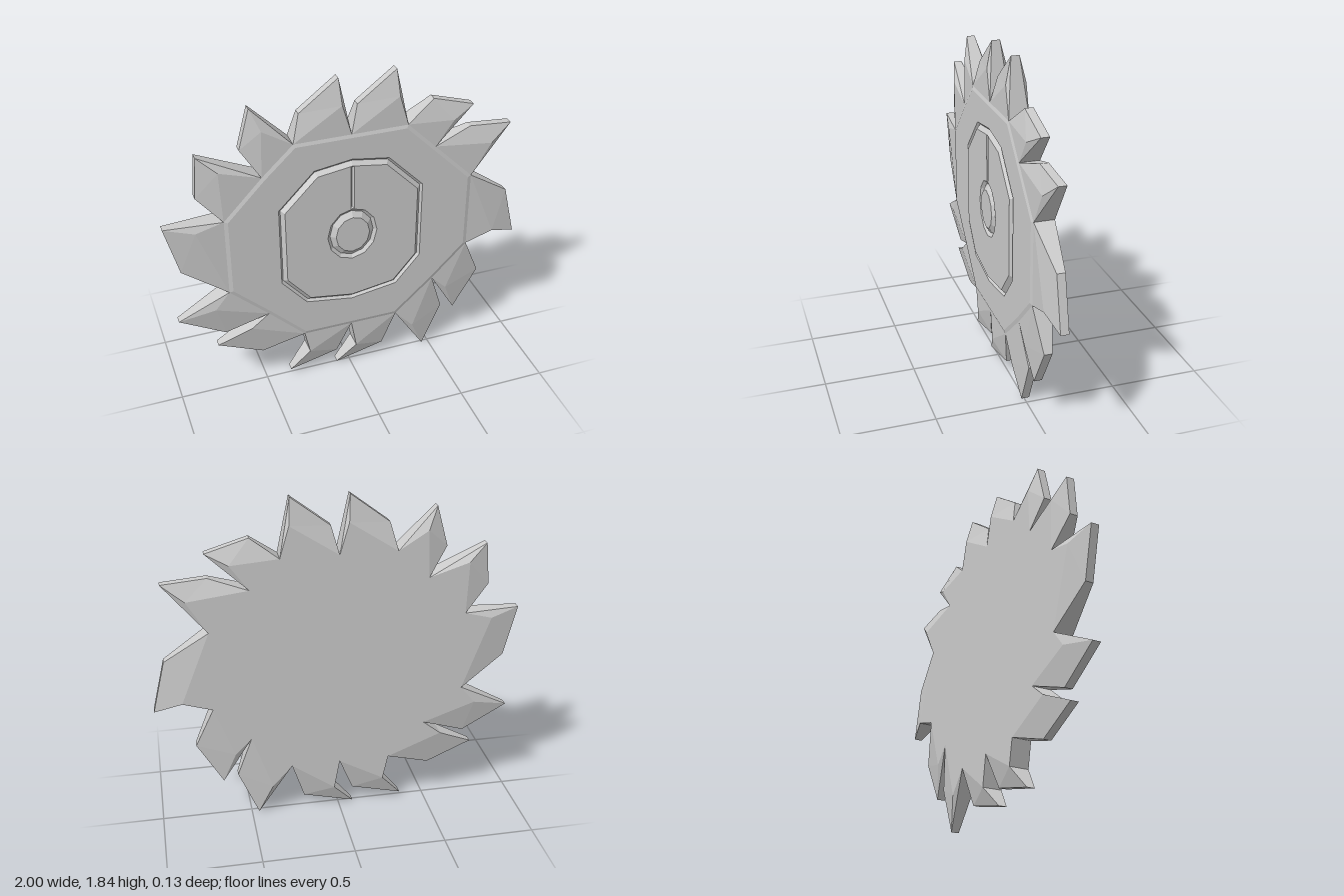
import * as THREE from 'three';

const BACK = -0.063, FRONT = 0.045, MID = -0.007, TIP = 0.022, CY = 0.93;
const DISC_FACE = 0.051, PLATE_FACE = 0.06;
const mat = new THREE.MeshStandardMaterial({ color: 0xcccccc, flatShading: true });

function meshFromTriangles(name, tris) {
  const geo = new THREE.BufferGeometry();
  geo.setAttribute('position', new THREE.Float32BufferAttribute(tris.flat(2), 3));
  geo.computeVertexNormals();
  const mesh = new THREE.Mesh(geo, mat);
  mesh.name = name;
  return mesh;
}

const scaled = (outline, s) => outline.map(([x, y]) => [x * s, CY + (y - CY) * s]);

// Wall through scaled copies of a counter-clockwise outline; layers are [scale, z]
function bevels(name, outline, layers) {
  const rings = layers.map(([s, z]) => scaled(outline, s).map(p => [...p, z]));
  const tris = [];
  for (let k = 0; k + 1 < rings.length; k++) {
    const a = rings[k], b = rings[k + 1];
    a.forEach((_, i) => {
      const j = (i + 1) % a.length;
      tris.push([a[i], a[j], b[j]], [a[i], b[j], b[i]]);
    });
  }
  return meshFromTriangles(name, tris);
}

// Flat face with optional holes, facing the front
function flat(name, outline, z, holes = []) {
  const points = list => list.map(([x, y]) => new THREE.Vector2(x, y));
  const shape = new THREE.Shape(points(outline));
  shape.holes = holes.map(h => new THREE.Path(points(h)));
  const mesh = new THREE.Mesh(new THREE.ShapeGeometry(shape), mat);
  mesh.name = name;
  mesh.position.z = z;
  return mesh;
}

// Tooth: heel base a, heel p, tip t, gullet q, next base b, listed clockwise
function tooth([a, p, t, q, b], hooked) {
  const thick = (v, f) => [...v, f ? FRONT : BACK];
  const thin = (v, f) => [...v, MID + (f ? TIP : -TIP)];
  const [F, B] = [true, false].map(f => ({
    a: thick(a, f), p: thin(p, f), t: thin(t, f), q: thick(q, f), b: thick(b, f),
  }));
  const tris = [];
  const wall = (m, n) => tris.push([F[m], B[n], B[m]], [F[m], F[n], B[n]]);
  const face = (k, l, m) => tris.push([F[k], F[m], F[l]], [B[k], B[l], B[m]]);
  face('a', 'p', 'q');
  face('p', 't', 'q');
  face('a', 'q', 'b');
  wall('a', 'p');
  wall('p', 't');
  if (hooked) {
    wall('t', 'q');
    wall('q', 'b');
  } else {
    // sharpened gullet: a bevel on each side of a straight cutting wall
    face('q', 't', 'b');
    wall('t', 'b');
  }
  return meshFromTriangles('tooth', tris);
}

export function createModel() {
  const group = new THREE.Group();
  group.name = 'sawBlade';

  // Corners where neighbouring teeth meet, clockwise from the upper left
  const base = [
    [-0.69, 1.15], [-0.48, 1.37], [-0.31, 1.53], [0, 1.53], [0.31, 1.53], [0.47, 1.37], [0.69, 1.15],
    [0.69, 0.70], [0.49, 0.50], [0.27, 0.30], [0, 0.30], [-0.28, 0.30], [-0.48, 0.50], [-0.69, 0.70],
  ];

  // Heel, tip, gullet, and whether the gullet is hooked
  const teeth = [
    [[-0.82, 1.30], [-0.80, 1.53], [-0.70, 1.44], false],
    [[-0.58, 1.53], [-0.52, 1.75], [-0.47, 1.63], false],
    [[-0.27, 1.68], [-0.06, 1.84], [-0.05, 1.70], false],
    [[0.04, 1.68], [0.25, 1.84], [0.26, 1.70], false],
    [[0.46, 1.64], [0.69, 1.57], [0.57, 1.51], false],
    [[0.68, 1.44], [0.92, 1.42], [0.80, 1.33], false],
    [[0.93, 0.99], [1.00, 0.70], [0.85, 0.75], true],
    [[0.79, 0.47], [0.65, 0.23], [0.58, 0.41], false],
    [[0.57, 0.26], [0.46, 0.00], [0.38, 0.18], false],
    [[0.20, 0.08], [-0.08, 0.01], [0.03, 0.13], true],
    [[-0.08, 0.10], [-0.36, 0.03], [-0.25, 0.16], true],
    [[-0.52, 0.22], [-0.77, 0.33], [-0.58, 0.42], true],
    [[-0.72, 0.41], [-0.97, 0.55], [-0.77, 0.60], false],
    [[-0.93, 0.87], [-1.00, 1.15], [-0.84, 1.11], false],
  ];
  teeth.forEach(([p, t, q, hooked], i) =>
    group.add(tooth([base[i], p, t, q, base[(i + 1) % base.length]], hooked)));

  // Ten-sided plate outline and oval hub outline
  const half = [[0, 0.50], [0.255, 0.54], [0.39, 0.70], [0.39, 1.15], [0.20, 1.345], [0, 1.375]];
  const plate = [...half, ...half.slice(1, -1).reverse().map(([x, y]) => [-x, y])];
  const hub = Array.from({ length: 12 }, (_, i) => {
    const a = (i / 12) * Math.PI * 2;
    return [0.14 * Math.cos(a), CY + 0.16 * Math.sin(a)];
  });

  // Disc with a bevelled front rim, opened for the plate
  const disc = [...base].reverse();
  const back = flat('discBack', disc.map(([x, y]) => [-x, y]), BACK);
  back.rotation.y = Math.PI;
  group.add(back);
  group.add(bevels('discRim', disc, [[1, BACK], [1, FRONT], [0.97, DISC_FACE]]));
  group.add(flat('discFace', scaled(disc, 0.97), DISC_FACE, [scaled(plate, 1.03)]));

  // Raised plate inside a narrow groove, opened for the hub and seam
  const w = 0.01, low = 1.092, high = 1.35;
  const slot = [[-w, low], [w, low], [w, high], [-w, high]];
  group.add(bevels('plateGroove', plate, [[1.03, DISC_FACE], [1, 0.038], [0.95, PLATE_FACE]]));
  group.add(flat('plateFace', scaled(plate, 0.95), PLATE_FACE, [hub, slot]));

  // Hub boss inside its own groove
  group.add(bevels('hubGroove', hub, [[1, PLATE_FACE], [0.88, 0.045], [0.68, 0.067]]));
  group.add(flat('hubFace', scaled(hub, 0.68), 0.067));

  // V-shaped seam from the hub to the plate's upper edge
  const [a, b, c, d] = slot.map(p => [...p, PLATE_FACE]);
  const e = [0, low + 0.01, 0.048], f = [0, high - 0.01, 0.048];
  group.add(meshFromTriangles('seam', [[a, b, e], [b, c, f], [b, f, e], [c, d, f], [d, a, e], [d, e, f]]));

  return group;
}
